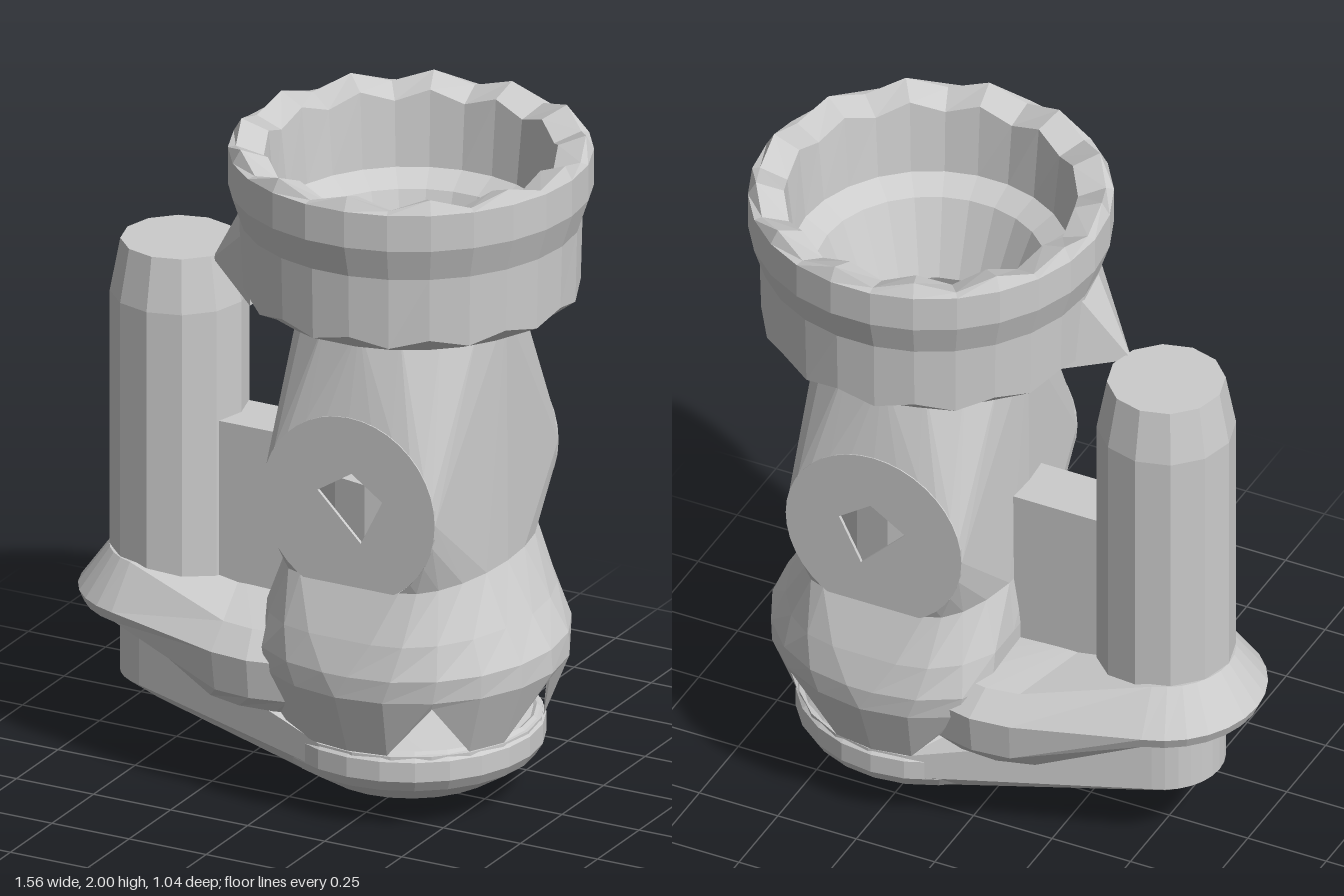
import * as THREE from 'three';
import { ConvexGeometry } from 'three/addons/geometries/ConvexGeometry.js';

const CX = 0.26; // axis of the main tower
const material = new THREE.MeshStandardMaterial({ color: 0xcccccc, flatShading: true, side: THREE.DoubleSide });

// Skins a stack of equal-length rings, optionally closing the ends with fans
function loft(rings, capStart = true, capEnd = true) {
  const n = rings[0].length, pos = [], idx = [];
  rings.forEach(r => r.forEach(p => pos.push(...p)));
  for (let i = 0; i < rings.length - 1; i++) {
    for (let j = 0; j < n; j++) {
      const a = i * n + j, b = i * n + (j + 1) % n;
      idx.push(a, a + n, b, b, a + n, b + n);
    }
  }
  const cap = (row, flip) => {
    const c = pos.length / 3, ring = rings[row];
    pos.push(...[0, 1, 2].map(k => ring.reduce((s, p) => s + p[k], 0) / n));
    for (let j = 0; j < n; j++) {
      const a = row * n + j, b = row * n + (j + 1) % n;
      idx.push(c, ...(flip ? [b, a] : [a, b]));
    }
  };
  if (capStart) cap(0, false);
  if (capEnd) cap(rings.length - 1, true);
  const g = new THREE.BufferGeometry();
  g.setAttribute('position', new THREE.Float32BufferAttribute(pos, 3));
  g.setIndex(idx);
  g.computeVertexNormals();
  return g;
}

const hull = points => new ConvexGeometry(points.map(p => new THREE.Vector3(...p)));

// Convex hull without its level and front/back faces, so it stays open there
function openHull(points) {
  const g = hull(points), pos = g.attributes.position, nor = g.attributes.normal, kept = [];
  for (let i = 0; i < pos.count; i += 3) {
    if (Math.abs(nor.getY(i)) > 0.995 || Math.abs(nor.getZ(i)) > 0.995) continue;
    for (let k = i; k < i + 3; k++) kept.push(pos.getX(k), pos.getY(k), pos.getZ(k));
  }
  const open = new THREE.BufferGeometry();
  open.setAttribute('position', new THREE.Float32BufferAttribute(kept, 3));
  open.computeVertexNormals();
  return open;
}

// Round ring about a vertical axis; dip(j) shifts single points in y
function ring(n, cx, y, r, dip = () => 0) {
  return Array.from({ length: n }, (_, j) => {
    const a = j / n * Math.PI * 2;
    return [cx + r * Math.cos(a), y + dip(j), r * Math.sin(a)];
  });
}

// Tower section: two half ellipses with a flat of half width w at front and back
function section(y, rx, rz, w = 0) {
  const pts = [];
  for (const side of [1, -1]) {
    for (let k = 0; k <= 10; k++) {
      const a = (k / 10 - side / 2) * Math.PI;
      const x = CX + side * w + (rx - w) * Math.cos(a);
      pts.push([Math.max(x, -0.07), y, rz * Math.sin(a)]);
    }
  }
  return pts;
}

// Outline around two circles of different size, each end at its own height
function teardrop(x0, r0, y0, x1, r1, y1, n = 12) {
  const t = Math.acos((r0 - r1) / (x1 - x0)), pts = [];
  for (let i = 0; i <= n; i++) {
    const a = -t + 2 * t * i / n;
    pts.push([x1 + r1 * Math.cos(a), y1, r1 * Math.sin(a)]);
  }
  for (let i = 0; i <= n; i++) {
    const a = t + (2 * Math.PI - 2 * t) * i / n;
    pts.push([x0 + r0 * Math.cos(a), y0, r0 * Math.sin(a)]);
  }
  return pts;
}

export function createModel() {
  const model = new THREE.Group();
  const add = (name, geometry) => {
    const mesh = new THREE.Mesh(geometry, material);
    mesh.name = name;
    model.add(mesh);
    return mesh;
  };

  // Scalloped crown with a stepped well
  const scallop = j => (j % 2 ? -0.035 : 0);
  const nick = j => (j % 2 ? -0.025 : 0);
  add('crown', loft([
    ring(26, CX, 1.495, 0.31),
    ring(26, CX, 1.51, 0.43),
    ring(26, CX, 1.56, 0.485, nick),
    ring(26, CX, 1.75, 0.49),
    ring(26, CX, 1.85, 0.523),
    ring(26, CX, 1.96, 0.523),
    ring(26, CX, 2.0, 0.5, scallop),
    ring(26, CX, 1.97, 0.42, scallop),
    ring(26, CX, 1.74, 0.4),
    ring(26, CX, 1.7, 0.33),
    ring(26, CX, 1.48, 0.24),
  ], false, false));

  // Pointed spout under the crown
  add('spout', hull([[-0.35, 1.525, 0.06], [-0.22, 1.755, -0.02], [-0.21, 1.755, 0.12],
    [-0.07, 1.52, -0.16], [-0.09, 1.52, 0.32], [-0.1, 1.75, 0.3]]));

  // Upper tower: round neck blending into the two flat cheeks
  const cheeks = ring(24, 0.258, 0, 0.28)
    .filter(p => p[2] > -0.24)
    .flatMap(([x, , s]) => [[x, 0.98 + s, 0.37], [x, 0.98 + s, -0.37]]);
  add('upperTower', openHull([
    ...ring(16, CX, 1.52, 0.31), ...cheeks, ...section(0.75, 0.315, 0.37, 0.16),
  ]));

  // Core inside the hollow tower
  const core = add('core', new THREE.CylinderGeometry(0.28, 0.28, 0.24, 16));
  core.position.set(CX, 0.9, 0);

  // Lower tower: swelling skirt with triangular windows
  const windows = [2, 5, 8, 19];
  const peaks = section(0.41, 0.45, 0.45);
  const hem = section(0.24, 0.385, 0.385).map((p, j) => (windows.includes(j) ? peaks[j] : p));
  add('skirt', loft([
    hem,
    section(0.43, 0.46, 0.46),
    section(0.5, 0.455, 0.46, 0.04),
    section(0.6, 0.395, 0.43, 0.1),
    section(0.75, 0.315, 0.37, 0.16),
  ], false, false));

  // Round side plates with a diamond opening
  const plate = new THREE.Shape().absarc(0, 0, 0.28, 0, Math.PI * 2);
  plate.holes.push(new THREE.Path([[-0.1, 0.04], [0.01, 0.11], [0.11, 0.04], [0.04, -0.1]]
    .map(p => new THREE.Vector2(...p))));
  for (const side of [1, -1]) {
    const g = new THREE.ExtrudeGeometry(plate, { depth: 0.01, bevelEnabled: false, curveSegments: 20 });
    const mesh = add(side > 0 ? 'frontPlate' : 'backPlate', g);
    mesh.position.set(0.258, 0.98, side > 0 ? 0.363 : -0.373);
  }

  // Sloping flange joining tower and column
  add('flange', loft([
    teardrop(-0.48, 0.17, 0.375, -0.08, 0.34, 0.29),
    teardrop(-0.48, 0.285, 0.44, -0.08, 0.385, 0.34),
    teardrop(-0.48, 0.3, 0.475, -0.08, 0.4, 0.46),
    teardrop(-0.48, 0.21, 0.6, -0.08, 0.33, 0.53),
  ]));

  // Column with a tapered top
  add('column', loft([
    ring(12, -0.49, 0.5, 0.2),
    ring(12, -0.49, 1.38, 0.2),
    ring(12, -0.49, 1.54, 0.17),
  ]));

  // Web between column and tower
  const web = add('web', new THREE.BoxGeometry(0.36, 0.54, 0.18));
  web.position.set(-0.16, 0.77, 0);

  // Foot: an arm under the column and a rounded bowl under the tower
  add('footArm', loft([
    teardrop(-0.48, 0.08, 0.14, 0.2, 0.3, 0.1),
    teardrop(-0.48, 0.18, 0.215, CX, 0.38, 0.16),
    teardrop(-0.48, 0.18, 0.4, CX, 0.38, 0.235),
  ]));
  add('footBowl', loft([
    ring(24, CX, 0, 0.04),
    ring(24, CX, 0.02, 0.15),
    ring(24, CX, 0.06, 0.26),
    ring(24, CX, 0.125, 0.365),
    ring(24, CX, 0.16, 0.387),
    ring(24, CX, 0.22, 0.387),
    ring(24, CX, 0.245, 0.36),
    ring(24, CX, 0.19, 0.28),
  ]));

  return model;
}
